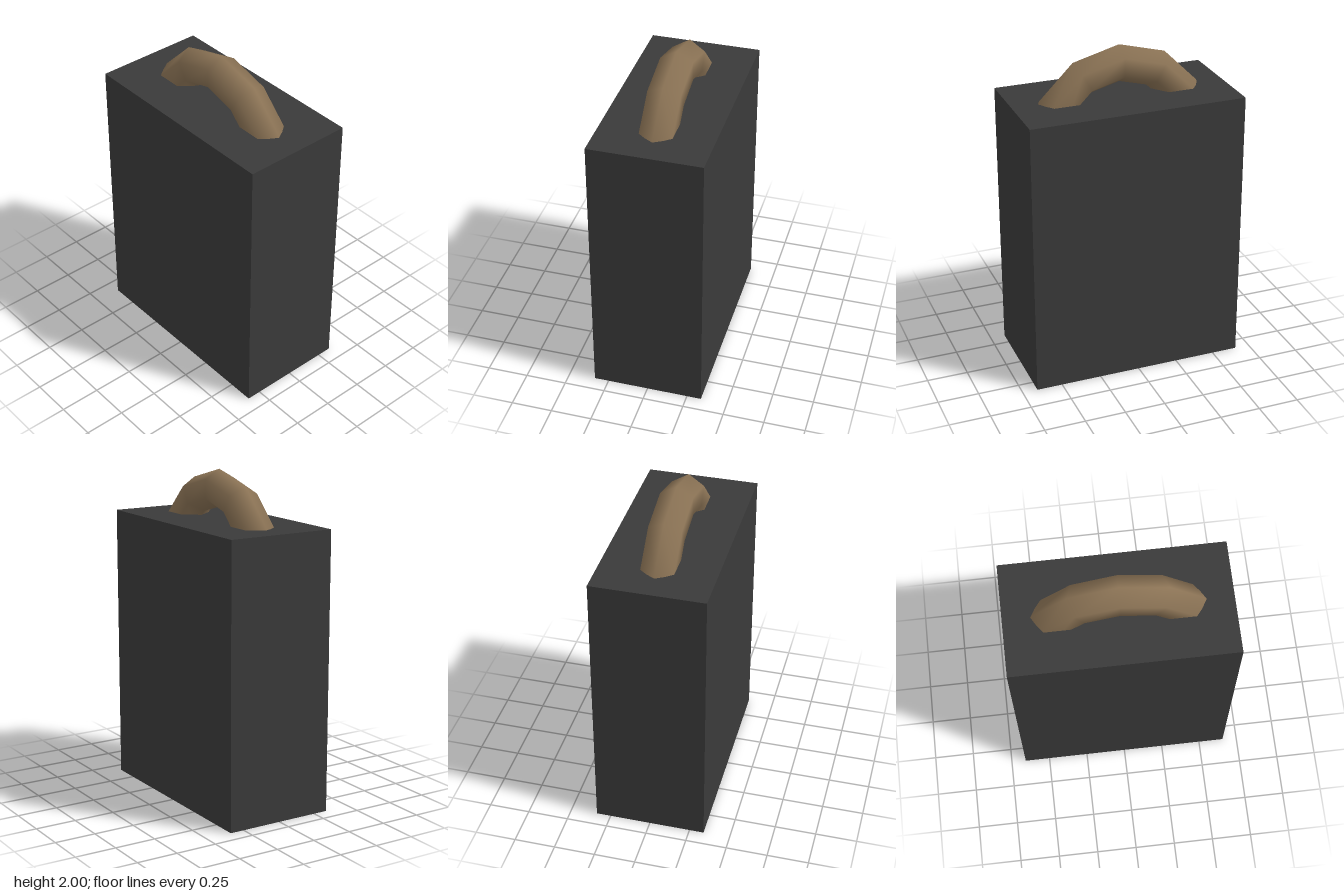
import * as THREE from 'three';

export function createModel() {
  const model = new THREE.Group();
  model.name = 'case';

  const add = (name, geometry, color, y) => {
    const mesh = new THREE.Mesh(geometry, new THREE.MeshStandardMaterial({ color }));
    mesh.name = name;
    mesh.position.y = y;
    model.add(mesh);
    return mesh;
  };

  // Plain rectangular body standing on the ground
  const height = 1.7;
  add('body', new THREE.BoxGeometry(1.316, height, 0.676), 0x3a3a3a, height / 2);

  // Half-ring handle with a six-sided section, its ends sunk into the body
  const ring = 0.457, tube = 0.113;
  add('handle', new THREE.TorusGeometry(ring, tube, 6, 6, Math.PI), 0x8b7355, 2 - ring - tube);

  return model;
}
